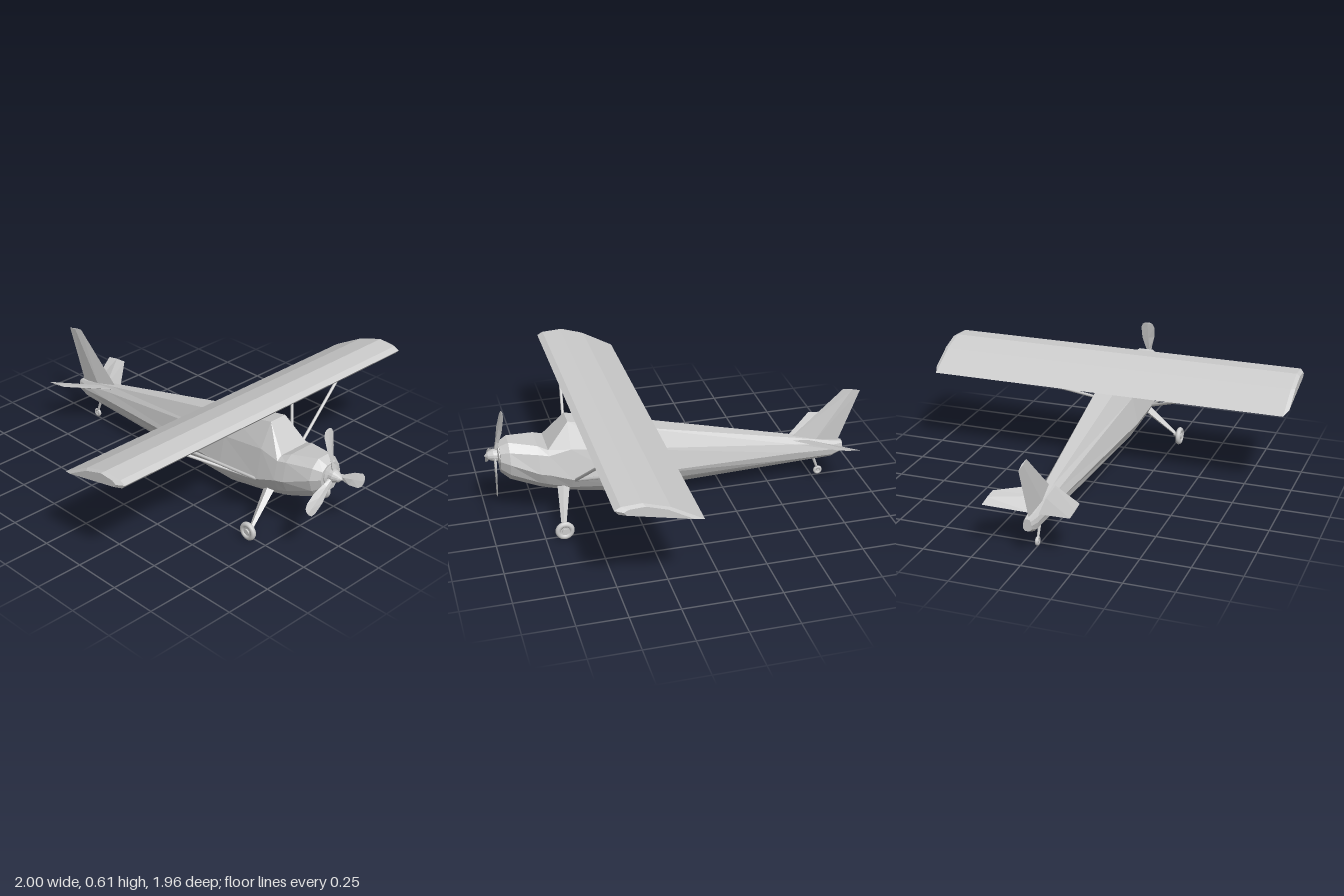
import * as THREE from 'three';

const flat = new THREE.MeshStandardMaterial({ color: 0xcccccc, flatShading: true });
const smooth = new THREE.MeshStandardMaterial({ color: 0xcccccc });
const V = (x, y, z) => new THREE.Vector3(x, y, z);

function mesh(name, geometry, material = flat) {
  const m = new THREE.Mesh(geometry, material);
  m.name = name;
  return m;
}

// Skin through closed rings of points, each ring counterclockwise seen from the far end
function loft(rings) {
  const n = rings[0].length, last = (rings.length - 1) * n, index = [];
  for (let s = 0; s < rings.length - 1; s++) {
    for (let i = 0; i < n; i++) {
      const j = (i + 1) % n, a = s * n + i, b = s * n + j;
      index.push(a, b, b + n, a, b + n, a + n);
    }
  }
  for (let i = 1; i < n - 1; i++) {
    index.push(0, i + 1, i, last, last + i, last + i + 1);
  }
  const g = new THREE.BufferGeometry();
  g.setAttribute('position', new THREE.Float32BufferAttribute(rings.flat(2), 3));
  g.setIndex(index);
  g.computeVertexNormals();
  return g;
}

// Round rod between two points
function rod(name, a, b, r0, r1 = r0, sides = 8) {
  const d = b.clone().sub(a);
  const m = mesh(name, new THREE.CylinderGeometry(r1, r0, d.length(), sides), smooth);
  m.position.copy(a).addScaledVector(d, 0.5);
  m.quaternion.setFromUnitVectors(V(0, 1, 0), d.normalize());
  return m;
}

function wheel(name, x, y, z, radius, tube) {
  const g = new THREE.Group();
  g.name = name;
  g.add(mesh('tyre', new THREE.TorusGeometry(radius - tube, tube, 10, 24), smooth));
  const hub = mesh('hub', new THREE.CylinderGeometry(radius - tube, radius - tube, tube, 16));
  const cap = mesh('hubCap', new THREE.CylinderGeometry(radius * 0.3, radius * 0.3, tube * 2, 12));
  hub.rotation.x = cap.rotation.x = Math.PI / 2;
  g.add(hub, cap);
  g.position.set(x, y, z);
  return g;
}

function fuselage() {
  // x, then y and half width from the roof down to the belly
  const sections = [
    [-0.91, 0.20, 0.012, 0.19, 0.018, 0.17, 0.022, 0.15, 0.02, 0.14, 0.01],
    [-0.85, 0.21, 0.015, 0.19, 0.028, 0.165, 0.032, 0.13, 0.025, 0.115, 0.012],
    [-0.64, 0.26, 0.02, 0.23, 0.04, 0.185, 0.052, 0.14, 0.04, 0.114, 0.02],
    [0.32, 0.485, 0.055, 0.38, 0.105, 0.235, 0.135, 0.165, 0.1, 0.1, 0.045],
    [0.58, 0.545, 0.05, 0.42, 0.115, 0.26, 0.142, 0.2, 0.11, 0.15, 0.05],
    [0.69, 0.42, 0.09, 0.4, 0.118, 0.3, 0.138, 0.23, 0.105, 0.178, 0.045],
    [0.74, 0.442, 0.075, 0.41, 0.112, 0.31, 0.132, 0.245, 0.1, 0.195, 0.045],
    [0.88, 0.463, 0.04, 0.425, 0.082, 0.365, 0.1, 0.3, 0.08, 0.255, 0.04],
    [0.925, 0.44, 0.028, 0.415, 0.058, 0.375, 0.07, 0.325, 0.055, 0.295, 0.028]
  ];
  return loft(sections.map(([x, ...p]) => {
    const side = [];
    for (let i = 0; i < p.length; i += 2) side.push([x, p[i], p[i + 1]]);
    return [...side, ...side.map(([a, b, c]) => [a, b, -c]).reverse()];
  }));
}

function wing() {
  const profile = [[0.55, 0.565], [0.52, 0.581], [0.42, 0.586], [0.29, 0.545], [0.13, 0.455], [0.53, 0.543]];
  const ring = (z, s) => profile.map(([x, y]) => [0.37 + (x - 0.37) * s, 0.545 + (y - 0.545) * s, z]);
  return loft([ring(-0.98, 0.78), ring(-0.96, 1), ring(0.96, 1), ring(0.98, 0.78)]);
}

function tailplane() {
  // leading and trailing points of a thin diamond section
  const ring = (z, x0, y0, x1, y1, t) => {
    const x = (x0 + x1) / 2, y = (y0 + y1) / 2;
    return [[x0, y0, z], [x, y + t, z], [x1, y1, z], [x, y - t, z]];
  };
  const tip = [-0.8, 0.268, -0.93, 0.25, 0.003];
  return loft([ring(-0.22, ...tip), ring(0, -0.59, 0.25, -0.82, 0.19, 0.012), ring(0.22, ...tip)]);
}

function fin() {
  const ring = (x0, y0, x1, y1, t) => {
    const x = (x0 + x1) / 2, y = (y0 + y1) / 2;
    return [[x0, y0, 0], [x, y, -t], [x1, y1, 0], [x, y, t]];
  };
  return loft([ring(-0.62, 0.25, -0.89, 0.2, 0.016), ring(-0.905, 0.505, -1, 0.485, 0.004)]);
}

function propeller() {
  const g = new THREE.Group();
  g.name = 'propeller';
  // distance from hub, half width, half thickness, twist
  const stations = [[0.015, 0.012, 0.008, 0.6], [0.07, 0.016, 0.007, 0.45], [0.14, 0.034, 0.005, 0.25],
    [0.205, 0.037, 0.004, 0.12], [0.228, 0.028, 0.003, 0.1], [0.236, 0.012, 0.002, 0.1]];
  const blade = loft(stations.map(([y, w, t, a]) =>
    [[t, 0], [0, -w], [-t, 0], [0, w]].map(([x, z]) =>
      [x * Math.cos(a) + z * Math.sin(a), y, z * Math.cos(a) - x * Math.sin(a)])));
  for (let i = 0; i < 3; i++) {
    const b = mesh('blade', blade);
    b.rotation.x = i * Math.PI * 2 / 3;
    g.add(b);
  }
  g.position.set(0.945, 0.385, 0);
  g.rotation.z = 0.21;
  return g;
}

export function createModel() {
  const model = new THREE.Group();
  model.name = 'highWingAirplane';
  model.add(mesh('fuselage', fuselage()), mesh('wing', wing()),
    mesh('tailplane', tailplane()), mesh('fin', fin()), propeller());

  // Nose bearing and pointed spinner
  const spinner = mesh('spinner', new THREE.LatheGeometry(
    [[0, 0.9], [0.052, 0.9], [0.052, 0.93], [0.034, 0.935], [0.032, 0.955], [0.02, 0.982], [0, 1]]
      .map(([r, y]) => new THREE.Vector2(r, y)), 16));
  spinner.rotation.z = -Math.PI / 2;
  spinner.position.y = 0.382;
  model.add(spinner);

  for (const s of [1, -1]) {
    const side = s > 0 ? 'left' : 'right';
    // Wing struts meeting low on the cabin side
    const foot = V(0.565, 0.25, 0.13 * s);
    model.add(rod(side + 'FrontStrut', foot, V(0.51, 0.545, 0.52 * s), 0.008));
    model.add(rod(side + 'RearStrut', foot, V(0.2, 0.47, 0.52 * s), 0.008));
    // Tapered landing gear leg, axle and wheel
    const ring = (y, z, x, w, t) => [[x + w, y, z], [x, y + t, z], [x - w, y, z], [x, y - t, z]];
    const rings = [ring(0.21, 0.09 * s, 0.62, 0.032, 0.03), ring(0.065, 0.25 * s, 0.655, 0.012, 0.012)];
    model.add(mesh(side + 'GearLeg', loft(s > 0 ? rings : rings.reverse())));
    model.add(rod(side + 'Axle', V(0.655, 0.06, 0.24 * s), V(0.655, 0.055, 0.275 * s), 0.009));
    model.add(wheel(side + 'Wheel', 0.655, 0.054, 0.274 * s, 0.049, 0.014));
  }

  // Tail wheel on a raked leg
  model.add(rod('tailWheelLeg', V(-0.75, 0.13, 0), V(-0.785, 0.035, 0), 0.009, 0.006));
  model.add(wheel('tailWheel', -0.785, 0.032, 0, 0.024, 0.008));
  return model;
}
